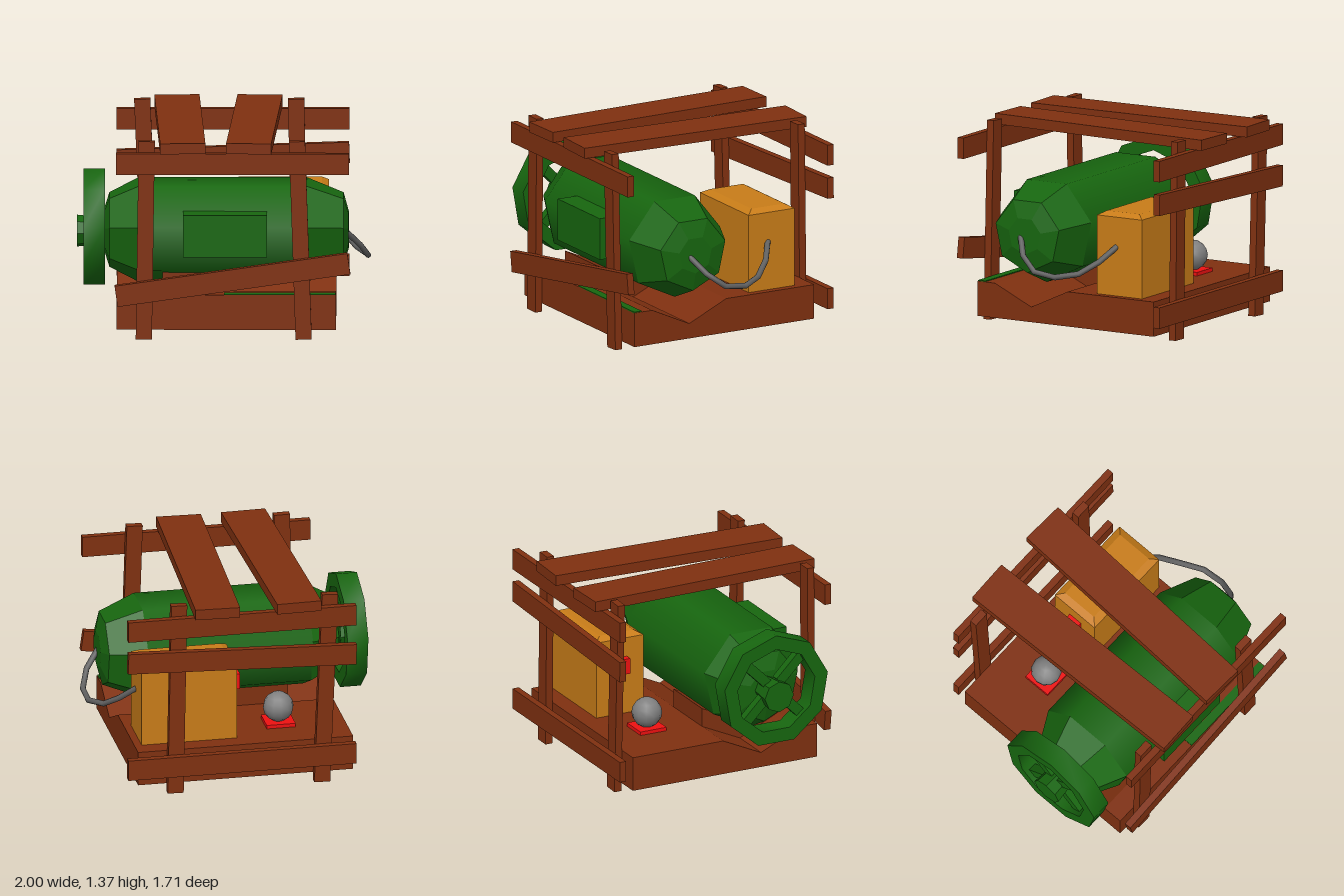
import * as THREE from 'three';
import { toCreasedNormals } from 'three/addons/utils/BufferGeometryUtils.js';

const mat = (color, flatShading = false) => new THREE.MeshStandardMaterial({ color, flatShading });
const wood = mat(0x7f3010), green = mat(0x17660f), greenFlat = mat(0x17660f, true);
const amber = mat(0xc87c18, true), red = mat(0xee1111), grey = mat(0x606060);

export function createModel() {
  const model = new THREE.Group();
  const add = (name, geo, material, parent = model) => {
    const mesh = new THREE.Mesh(geo, material);
    mesh.name = name;
    parent.add(mesh);
    return mesh;
  };
  // box given by its limits on each axis
  const box = (name, m, [x0, x1], [y0, y1], [z0, z1], parent) => {
    const b = add(name, new THREE.BoxGeometry(x1 - x0, y1 - y0, z1 - z0), m, parent);
    b.position.set((x0 + x1) / 2, (y0 + y1) / 2, (z0 + z1) / 2);
    return b;
  };
  // prism along x from [z, y] corners
  const toShape = pts => new THREE.Shape(pts.map(([z, y]) => new THREE.Vector2(-z, y)));
  const prism = (shape, x0, x1) => new THREE.ExtrudeGeometry(shape, { depth: x1 - x0, bevelEnabled: false })
    .rotateY(Math.PI / 2).translate(x0, 0, 0);

  // Base with a V-shaped trough, and the cradle lying in it
  add('base', prism(toShape([[-0.69, 0.06], [0.72, 0.06], [0.72, 0.3], [0.58, 0.3], [0.29, 0.165],
    [0, 0.3], [-0.69, 0.3]]), -0.73, 0.76), wood);
  add('cradle', prism(toShape([[0, 0.3], [0.29, 0.165], [0.58, 0.3], [0.58, 0.43], [0.29, 0.3],
    [0, 0.43]]), -0.42, 0), wood);
  box('baseStrip', green, [0, 0.755], [0.295, 0.306], [0.66, 0.72]);

  // Seven-sided vessel lying along x
  const vessel = new THREE.Group();
  vessel.name = 'vessel';
  vessel.position.set(0, 0.67, 0.29);
  model.add(vessel);
  const frustum = (name, x0, r0, x1, r1, m, open = true) => {
    const geo = new THREE.CylinderGeometry(r1, r0, x1 - x0, 7, 1, open, Math.PI / 2)
      .rotateZ(-Math.PI / 2).translate((x0 + x1) / 2, 0, 0);
    add(name, geo, m, vessel);
  };
  frustum('vesselBody', -0.58, 0.365, 0.56, 0.365, green);
  frustum('leftShoulder', 0.56, 0.365, 0.81, 0.26, greenFlat);
  frustum('leftEnd', 0.81, 0.26, 0.845, 0.13, greenFlat, false);
  frustum('rightShoulder', -0.78, 0.26, -0.58, 0.365, greenFlat);
  frustum('rightEnd', -0.82, 0.13, -0.78, 0.26, greenFlat, false);
  box('vesselPanel', green, [-0.28, 0.29], [0.56, 0.85], [0.5, 0.72]);

  // Nine-sided handwheel with hub and spokes
  const wheel = new THREE.Group();
  wheel.name = 'handwheel';
  wheel.position.set(0, 0.69, 0.29);
  model.add(wheel);
  const ring = r => Array.from({ length: 9 }, (_, i) => {
    const a = i * Math.PI * 2 / 9;
    return [r * Math.sin(a), r * Math.cos(a)];
  });
  const rim = toShape(ring(0.4));
  rim.holes.push(new THREE.Path(ring(0.3).map(([z, y]) => new THREE.Vector2(-z, y))));
  add('wheelRim', toCreasedNormals(prism(rim, -0.955, -0.81), 0.8), green, wheel);
  const hub = new THREE.CylinderGeometry(0.09, 0.11, 0.2, 8).rotateZ(-Math.PI / 2).translate(-0.9, -0.03, 0);
  add('wheelHub', hub, greenFlat, wheel);
  for (let i = 0; i < 4; i++) {
    const spoke = add('wheelSpoke', new THREE.BoxGeometry(0.06, 0.27, 0.07).translate(0, 0.2, 0), green, wheel);
    spoke.position.x = -0.89;
    spoke.rotation.x = Math.PI / 4 + i * Math.PI / 2;
  }

  // Tank with a chamfered top
  box('tank', amber, [0.05, 0.71], [0.3, 0.845], [-0.565, -0.205]);
  const lid = new THREE.BoxGeometry(0.66, 0.028, 0.36);
  const p = lid.attributes.position;
  for (let i = 0; i < p.count; i++) {
    if (p.getY(i) > 0) p.setXYZ(i, p.getX(i) * 0.85, p.getY(i), p.getZ(i) * 0.72);
  }
  add('tankLid', lid, amber).position.set(0.38, 0.859, -0.385);
  box('tankSwitch', red, [0, 0.06], [0.6, 0.71], [-0.43, -0.33]);

  // Ball on a square plate
  box('ballPlate', red, [-0.38, -0.18], [0.295, 0.325], [-0.45, -0.25]);
  add('ball', new THREE.SphereGeometry(0.105, 12, 8), mat(0x808080)).position.set(-0.28, 0.42, -0.35);

  // Hose from tank to vessel
  const path = new THREE.CatmullRomCurve3([[0.7, 0.64, -0.36], [0.8, 0.55, -0.29], [0.88, 0.47, -0.19],
    [0.96, 0.44, -0.06], [0.98, 0.44, 0.08], [0.95, 0.52, 0.22], [0.83, 0.66, 0.33]]
    .map(q => new THREE.Vector3(...q)));
  add('hose', new THREE.TubeGeometry(path, 6, 0.02, 8), grey);

  // Posts: x at bottom, x at top, z
  for (const [xb, xt, z] of [[-0.545, -0.525, 0.748], [0.54, 0.495, 0.748],
    [-0.505, -0.56, -0.717], [0.51, 0.485, -0.717]]) {
    const post = add('post', new THREE.BoxGeometry(0.11, 1.37, 0.052), wood);
    post.position.set((xb + xt) / 2, 0.688, z);
    post.rotation.z = Math.atan2(xb - xt, 1.37);
  }

  // Side rails: y at the right end, y at the left end, z
  for (const [ya, yb, z] of [[1.225, 1.225, 0.8], [0.31, 0.537, 0.8],
    [1.225, 1.225, -0.768], [0.938, 0.992, -0.768], [0.212, 0.212, -0.768]]) {
    const rail = add('rail', new THREE.BoxGeometry(Math.hypot(1.58, yb - ya), 0.145, 0.048), wood);
    rail.position.set(0.057, (ya + yb) / 2, z);
    rail.rotation.z = Math.atan2(yb - ya, 1.58);
  }

  // Top planks: x at the back, x at the front
  for (const [xb, xf] of [[-0.325, -0.28], [0.24, 0.167]]) {
    const plank = add('topPlank', new THREE.BoxGeometry(0.307, 0.073, 1.7), wood);
    plank.position.set((xb + xf) / 2, 1.338, 0);
    plank.rotation.y = Math.atan2(xf - xb, 1.7);
  }
  return model;
}
